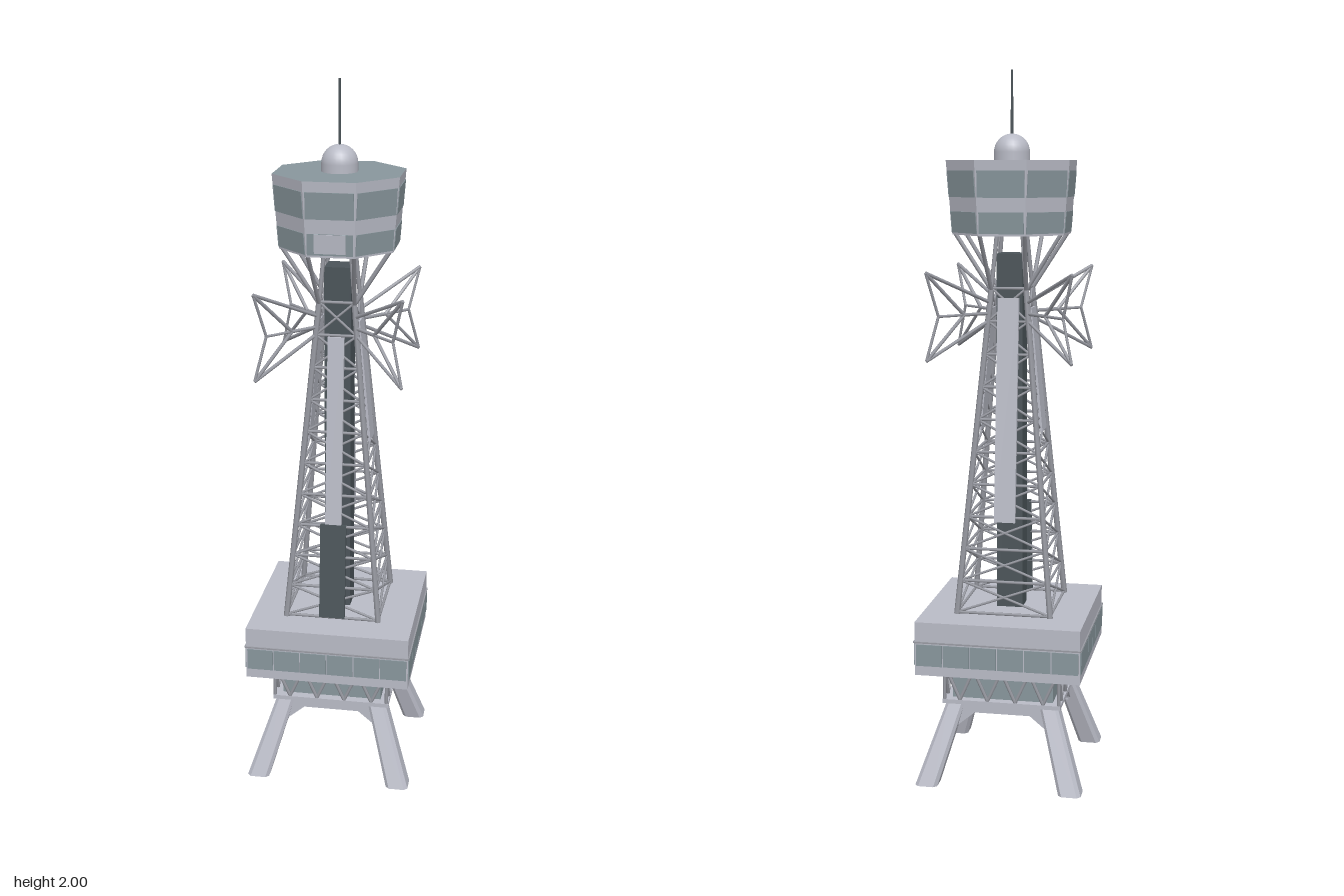
import * as THREE from 'three';
import { mergeGeometries } from 'three/addons/utils/BufferGeometryUtils.js';

const mat = (name, color) => {
  const m = new THREE.MeshStandardMaterial({ color });
  m.name = name;
  return m;
};

export function createModel() {
  const light = mat('pale concrete', 0xb9bbc6);
  const steel = mat('grey steel', 0x989aa2);
  const glass = mat('blue grey glass', 0x88969c);
  const dark = mat('dark metal', 0x4b5459);
  const tower = new THREE.Group();
  tower.name = 'observationTower';

  const add = (name, geo, material, parent = tower) => {
    const m = new THREE.Mesh(geo, material);
    m.name = name;
    parent.add(m);
    return m;
  };
  const box = (w, h, d, x, y, z) => new THREE.BoxGeometry(w, h, d).translate(x, y, z);
  const flat = (geo) => {
    const g = geo.index ? geo.toNonIndexed() : geo;
    g.computeVertexNormals();
    return g;
  };
  // straight bar between two points
  const bar = (a, b, r) => {
    const p = new THREE.Vector3(...a), q = new THREE.Vector3(...b);
    const dir = q.clone().sub(p);
    const g = new THREE.CylinderGeometry(r, r, dir.length(), 6);
    g.applyQuaternion(new THREE.Quaternion().setFromUnitVectors(new THREE.Vector3(0, 1, 0), dir.normalize()));
    return g.translate(...p.add(q).multiplyScalar(0.5).toArray());
  };
  // group turned to face one of n directions, starting at the front
  const side = (name, k, n) => {
    const g = new THREE.Group();
    g.name = name;
    g.rotation.y = (k / n) * Math.PI * 2;
    tower.add(g);
    return g;
  };
  // half width of the lattice shaft at height y
  const half = (y) => 0.134 - (y - 0.485) * 0.0925;
  const lean = Math.atan(0.0925);

  // splayed legs: chamfered square section, sheared towards the centre
  const c = 0.022, s = 0.032;
  const section = new THREE.Shape([[s, -c], [s, c], [c, s], [-c, s], [-s, c], [-s, -c], [-c, -s], [c, -s]]
    .map(([x, y]) => new THREE.Vector2(x, y)));
  for (const [sx, sz] of [[1, 1], [1, -1], [-1, -1], [-1, 1]]) {
    const g = new THREE.ExtrudeGeometry(section, { depth: 0.225, bevelEnabled: false }).rotateX(-Math.PI / 2);
    const p = g.attributes.position;
    for (let i = 0; i < p.count; i++) {
      const t = p.getY(i) / 0.225, k = 1 - 0.18 * t, off = 0.206 - 0.07 * t;
      p.setX(i, p.getX(i) * k + sx * off);
      p.setZ(i, p.getZ(i) * k + sz * off);
    }
    g.computeVertexNormals();
    add('leg', g, light);
  }

  // haunched beams between the legs and the dark floor above them
  const arch = new THREE.Shape([[-0.15, 0.23], [-0.15, 0.15], [-0.14, 0.15], [-0.08, 0.2],
    [0.08, 0.2], [0.14, 0.15], [0.15, 0.15], [0.15, 0.23]].map(([x, y]) => new THREE.Vector2(x, y)));
  add('lowerFloor', box(0.28, 0.015, 0.28, 0, 0.222, 0), dark);
  add('lowerRim', box(0.34, 0.012, 0.34, 0, 0.234, 0), light);
  add('lowerRoom', box(0.29, 0.1, 0.29, 0, 0.285, 0), glass);

  // platform with window bands
  add('platform', box(0.468, 0.154, 0.468, 0, 0.407, 0), light);

  // central lift core
  add('liftCore', box(0.074, 1.02, 0.074, 0, 0.99, 0), dark);

  // sloping lift panels: pale part from y0 to y1, width w, dark part below
  const panels = [[0.77, 1.31, 0.046], [1.0, 1.35, 0.07], [0.75, 1.38, 0.06], [1.0, 1.35, 0.07]];
  const levels = [];
  for (let i = 0; i <= 10; i++) levels.push(0.49 + i * 0.0915);

  for (let k = 0; k < 4; k++) {
    const g = side('towerSide', k, 4);
    add('archBeam', new THREE.ExtrudeGeometry(arch, { depth: 0.025, bevelEnabled: false }).translate(0, 0, 0.13), light, g);

    // V bracing under the platform
    const truss = [bar([-0.165, 0.24, 0.165], [-0.165, 0.33, 0.165], 0.005)];
    for (let i = 0; i < 4; i++) {
      const x = -0.16 + i * 0.08;
      truss.push(bar([x, 0.33, 0.165], [x + 0.04, 0.24, 0.165], 0.005));
      truss.push(bar([x + 0.04, 0.24, 0.165], [x + 0.08, 0.33, 0.165], 0.005));
    }
    add('lowerTruss', mergeGeometries(truss), steel, g);

    // platform windows, divided by pale gaps
    for (let i = 0; i < 6; i++) {
      add('platformWindow', box(0.074, 0.062, 0.004, -0.1925 + i * 0.077, 0.389, 0.235), glass, g);
    }
    add('platformLedge', box(0.47, 0.004, 0.004, 0, 0.426, 0.236), steel, g);

    // crossed bracing of the shaft
    const web = [];
    levels.forEach((y, i) => {
      const a = half(y);
      web.push(bar([-a, y, a], [a, y, a], 0.0042));
      if (i === levels.length - 1) return;
      const y2 = levels[i + 1], b = half(y2);
      web.push(bar([-a, y, a], [b, y2, b], 0.0036), bar([a, y, a], [-b, y2, b], 0.0036));
    });
    add('shaftBracing', mergeGeometries(web), steel, g);

    // corner post and the two struts that spread to the pod
    const t = half(1.4);
    add('cornerPost', mergeGeometries([
      bar([0.134, 0.485, 0.134], [t, 1.4, t], 0.0085),
      bar([t, 1.4, t], [0.148, 1.556, 0.062], 0.006),
      bar([t, 1.4, t], [0.062, 1.556, 0.148], 0.006),
      bar([t, 1.4, t], [0.036, 1.555, 0.036], 0.006),
    ]), steel, g);

    // diagonal antenna frame
    const P = (r, y) => [r, y, r];
    add('antennaFrame', mergeGeometries([
      bar(P(0.2, 1.455), P(0.113, 1.335), 0.005),
      bar(P(0.2, 1.215), P(0.113, 1.335), 0.005),
      bar(P(0.2, 1.455), P(0.052, 1.365), 0.005),
      bar(P(0.2, 1.215), P(0.055, 1.315), 0.005),
      bar(P(0.113, 1.335), P(0.05, 1.335), 0.005),
      bar(P(0.2, 1.455), P(0.172, 1.335), 0.004),
      bar(P(0.2, 1.215), P(0.172, 1.335), 0.004),
      bar(P(0.172, 1.335), P(0.113, 1.335), 0.004),
    ]), steel, g);

    // lift panels on the shaft face
    const [y0, y1, w] = panels[k];
    const slope = (name, a, b, width, m) => {
      const y = (a + b) / 2;
      const p = add(name, new THREE.BoxGeometry(width, b - a, 0.012), m, g);
      p.position.set(0, y, half(y) + 0.002);
      p.rotation.x = -lean;
    };
    slope('liftPanel', y0, y1, w, light);
    if (k === 0) slope('liftOpening', 0.49, y0, 0.074, dark);
  }

  // eight sided pod: pale walls, glass roof, dark underside
  const R = (apothem) => apothem / Math.cos(Math.PI / 8);
  add('pod', flat(new THREE.CylinderGeometry(R(0.172), R(0.156), 0.203, 8, 1, false, Math.PI / 8))
    .translate(0, 1.6545, 0), [light, glass, dark]);
  const podLean = Math.atan(0.016 / 0.203);
  for (let k = 0; k < 8; k++) {
    const g = side('podSide', k, 8);
    for (const [y, h] of [[1.692, 0.072], [1.588, 0.058]]) {
      const ap = 0.156 + (y - 1.553) * 0.079;
      const p = add('podWindow', new THREE.BoxGeometry(ap * 0.828 * 0.94, h, 0.004), glass, g);
      p.position.set(0, y, ap);
      p.rotation.x = podLean;
    }
  }
  // plain plate on the pod front
  const plate = add('frontPlate', new THREE.BoxGeometry(0.085, 0.052, 0.006), light);
  plate.position.set(0, 1.59, 0.16);
  plate.rotation.x = podLean;

  // dome and mast
  add('domeBase', new THREE.CylinderGeometry(0.05, 0.05, 0.024, 24, 1, true).translate(0, 1.767, 0), light);
  add('dome', new THREE.SphereGeometry(0.05, 24, 8, 0, Math.PI * 2, 0, Math.PI / 2).translate(0, 1.778, 0), light);
  add('mast', new THREE.CylinderGeometry(0.003, 0.004, 0.18, 8).translate(0, 1.91, 0), dark);

  return tower;
}
